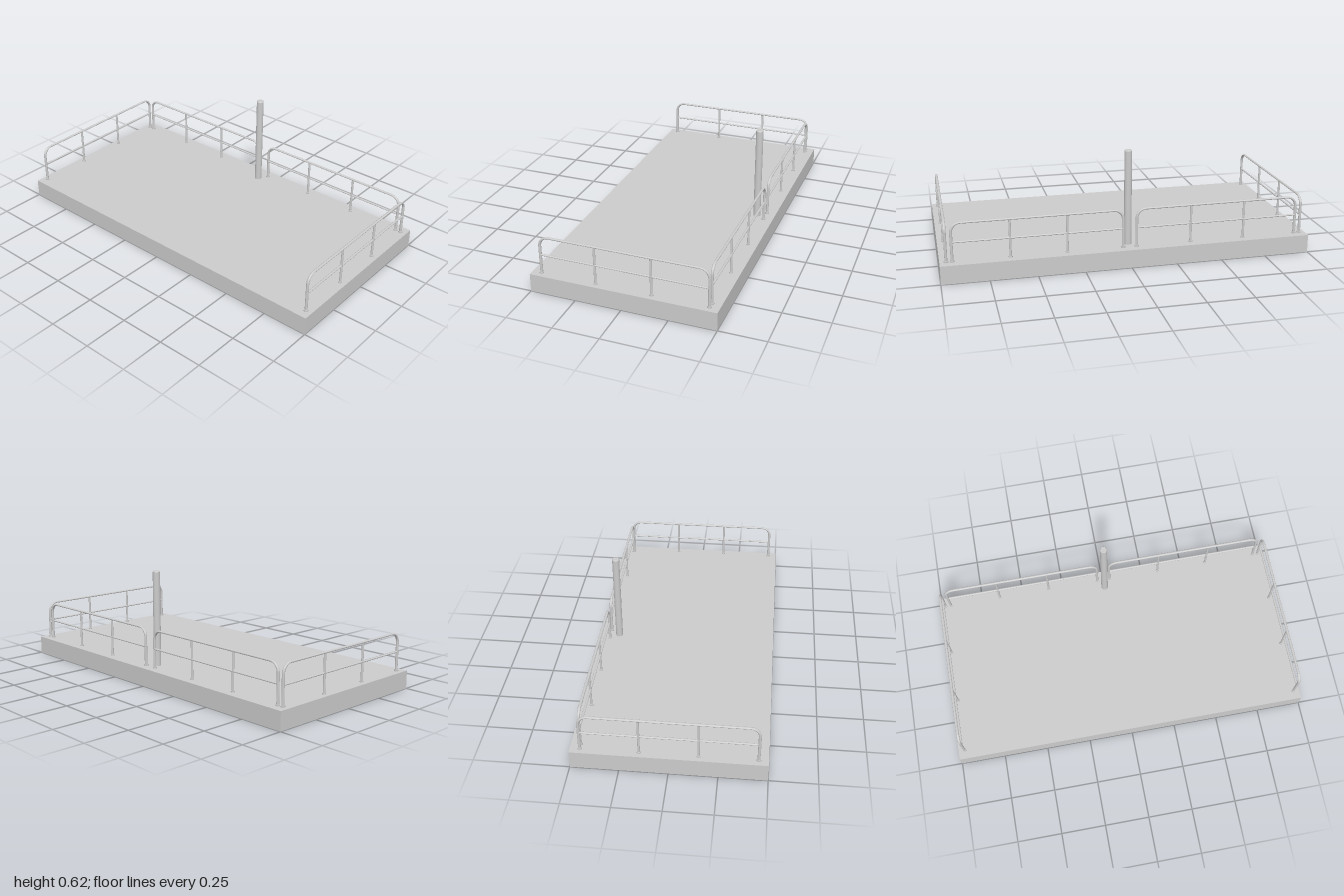
import * as THREE from 'three';

const SLAB_TOP = 0.1;
const HALF = 0.449;      // half the distance between a railing's end posts
const RAIL_Y = 0.31;     // centre of the top rail
const MID_Y = 0.207;     // centre of the middle rail
const BEND = 0.05;       // corner radius of the rail
const SQUASH = 0.75;     // tubes are slightly flattened vertically

export function createModel() {
  const model = new THREE.Group();
  const material = new THREE.MeshStandardMaterial({ color: 0xcccccc });

  const add = (parent, name, geometry, x = 0, y = 0, z = 0) => {
    const mesh = new THREE.Mesh(geometry, material);
    mesh.name = name;
    mesh.position.set(x, y, z);
    parent.add(mesh);
    return mesh;
  };

  // Platform
  add(model, 'platformSlab', new THREE.BoxGeometry(2, SLAB_TOP, 1), 0, SLAB_TOP / 2, 0);

  // Upright pole with a small chamfer at the top
  const poleProfile = [[0, 0], [0.02, 0], [0.02, 0], [0.02, 0.517], [0.02, 0.517],
    [0.017, 0.522], [0.017, 0.522], [0, 0.522]].map(([r, y]) => new THREE.Vector2(r, y));
  add(model, 'pole', new THREE.LatheGeometry(poleProfile, 24), 0, SLAB_TOP, -0.4);

  // Bent end posts and top rail as one continuous tube
  const v = (x, y) => new THREE.Vector3(x, y / SQUASH, 0);
  const path = new THREE.CurvePath();
  const points = [v(-HALF, SLAB_TOP)];
  for (let side = 0; side < 2; side++) {
    for (let i = 0; i <= 10; i++) {
      const a = Math.PI - (side * Math.PI + i * Math.PI / 10) / 2;
      const cx = (side ? 1 : -1) * (HALF - BEND);
      points.push(v(cx + BEND * Math.cos(a), RAIL_Y - BEND + BEND * Math.sin(a)));
    }
  }
  points.push(v(HALF, SLAB_TOP));
  for (let i = 1; i < points.length; i++) path.add(new THREE.LineCurve3(points[i - 1], points[i]));
  const railTube = new THREE.TubeGeometry(path, 160, 0.0075, 12, false);
  railTube.scale(1, SQUASH, 1);

  // Shared pieces of each railing
  const midTube = new THREE.CylinderGeometry(0.0065, 0.0065, HALF * 2, 12)
    .rotateZ(Math.PI / 2).scale(1, SQUASH, 1);
  const postTube = new THREE.CylinderGeometry(0.0063, 0.0063, RAIL_Y - SLAB_TOP, 12);
  const endFlange = new THREE.CylinderGeometry(0.0115, 0.0115, 0.008, 16);
  const midFlange = new THREE.CylinderGeometry(0.0105, 0.0105, 0.007, 16);

  const addRailing = (name, x, z, turn) => {
    const railing = new THREE.Group();
    railing.name = name;
    add(railing, 'topRail', railTube);
    add(railing, 'middleRail', midTube, 0, MID_Y, 0);
    for (const side of [-1, 1]) {
      add(railing, 'middlePost', postTube, side * HALF / 3, (RAIL_Y + SLAB_TOP) / 2, 0);
      add(railing, 'middlePostFlange', midFlange, side * HALF / 3, SLAB_TOP + 0.0035, 0);
      add(railing, 'endPostFlange', endFlange, side * HALF, SLAB_TOP + 0.004, 0);
    }
    railing.position.set(x, 0, z);
    railing.rotation.y = turn;
    model.add(railing);
  };

  // Two railings along the back, one on each end
  for (const [label, side] of [['left', 1], ['right', -1]]) {
    addRailing(label + 'BackRailing', side * 0.486, -0.45, 0);
    addRailing(label + 'SideRailing', side * 0.966, 0, side * Math.PI / 2);
  }
  return model;
}
